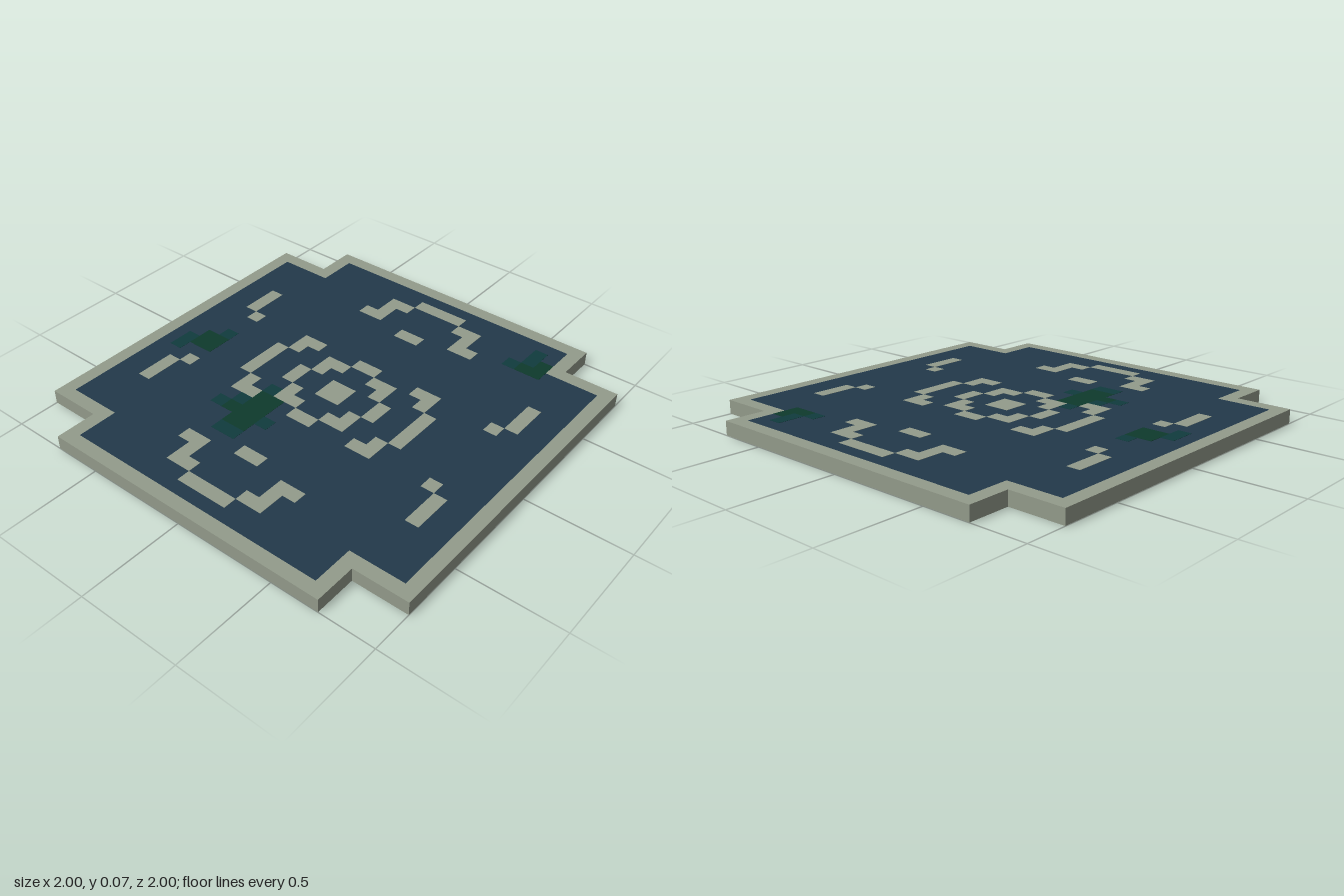
import * as THREE from 'three';
import { mergeGeometries } from 'three/addons/utils/BufferGeometryUtils.js';

const U = 1 / 15;   // one pattern cell
const H = U;        // slab thickness
const PROUD = 0.001; // inlays stand this far out of both faces

const mat = (name, color) => {
  const m = new THREE.MeshStandardMaterial({ color });
  m.name = name;
  return m;
};

// Plus-like outline: a wide rectangle crossed with a deep one, in cells
function crossPoints(wide, notchZ, notchX, deep) {
  const q = [[wide, notchZ], [notchX, notchZ], [notchX, deep]];
  const half = [...q, ...q.map(([x, z]) => [-x, z]).reverse()];
  return [...half, ...half.map(([x, z]) => [-x, -z])]
    .map(([x, z]) => new THREE.Vector2(x * U, z * U));
}

// Extrude a plan shape upward from the ground
function slab(shape) {
  const g = new THREE.ExtrudeGeometry(shape, { depth: H, bevelEnabled: false });
  return g.rotateX(-Math.PI / 2);
}

// Inlay made of cell rectangles [x0, z0, x1, z1], visible above and below
function inlay(rects) {
  return mergeGeometries(rects.map(([x0, z0, x1, z1]) =>
    new THREE.BoxGeometry((x1 - x0) * U, H + 2 * PROUD, (z1 - z0) * U)
      .translate((x0 + x1) / 2 * U, H / 2, (z0 + z1) / 2 * U)));
}

// Mirror rectangles into all four quadrants
const mirror4 = (rects) => rects.flatMap(([a, b, c, d]) => [
  [a, b, c, d], [-c, b, -a, d], [a, -d, c, -b], [-c, -d, -a, -b]]);

export function createModel() {
  const group = new THREE.Group();
  const stone = mat('pale stone', 0x939b8b);
  const blue = mat('deep blue', 0x22394a);
  const green = mat('moss green', 0x0e3a2c);
  const teal = mat('moss edge teal', 0x103b3d);
  const add = (name, geo, material) => {
    const m = new THREE.Mesh(geo, material);
    m.name = name;
    group.add(m);
  };

  // Stone rim around the blue field
  const rim = new THREE.Shape(crossPoints(15, 12, 11, 15));
  rim.holes.push(new THREE.Path(crossPoints(14, 11, 10, 14).reverse()));
  add('rim', slab(rim), stone);
  add('field', slab(new THREE.Shape(crossPoints(14, 11, 10, 14))), blue);

  // Stone patterns, one quadrant each
  add('centreStone', inlay([[-1, -1, 1, 1]]), stone);
  add('innerRing', inlay(mirror4([
    [0, 3, 1, 4], [1, 2, 3, 3], [2, 1, 3, 2], [3, 0, 4, 1]])), stone);
  add('outerRing', inlay(mirror4([
    [4, 3, 6, 4], [5, 2, 6, 3], [6, 0, 7, 2]])), stone);
  add('endArches', inlay(mirror4([
    [0, 12, 2, 13], [2, 11, 4, 12], [3, 10, 4, 11], [3, 9, 5, 10]])), stone);
  add('endDots', inlay(mirror4([[0, 8, 1, 9]])), stone);
  add('sideBars', inlay(mirror4([[11, 4, 12, 7], [10, 3, 11, 4]])), stone);

  // Moss patches: green hearts with teal edges
  add('mossHearts', inlay([
    [-4, 3, -2, 5], [-5, 5, -2, 6], [-4, 6, -2, 7],
    [-12, 0, -10, 2],
    [9, -12, 10, -11], [8, -11, 10, -10]]), green);
  add('mossEdges', inlay([
    [-4, 2, -3, 3], [-5, 4, -4, 5], [-6, 5, -5, 6], [-2, 5, -1, 6], [-4, 7, -2, 8],
    [-11, -1, -10, 0], [-13, 1, -12, 3],
    [8, -13, 9, -11], [7, -11, 8, -10]]), teal);

  return group;
}
